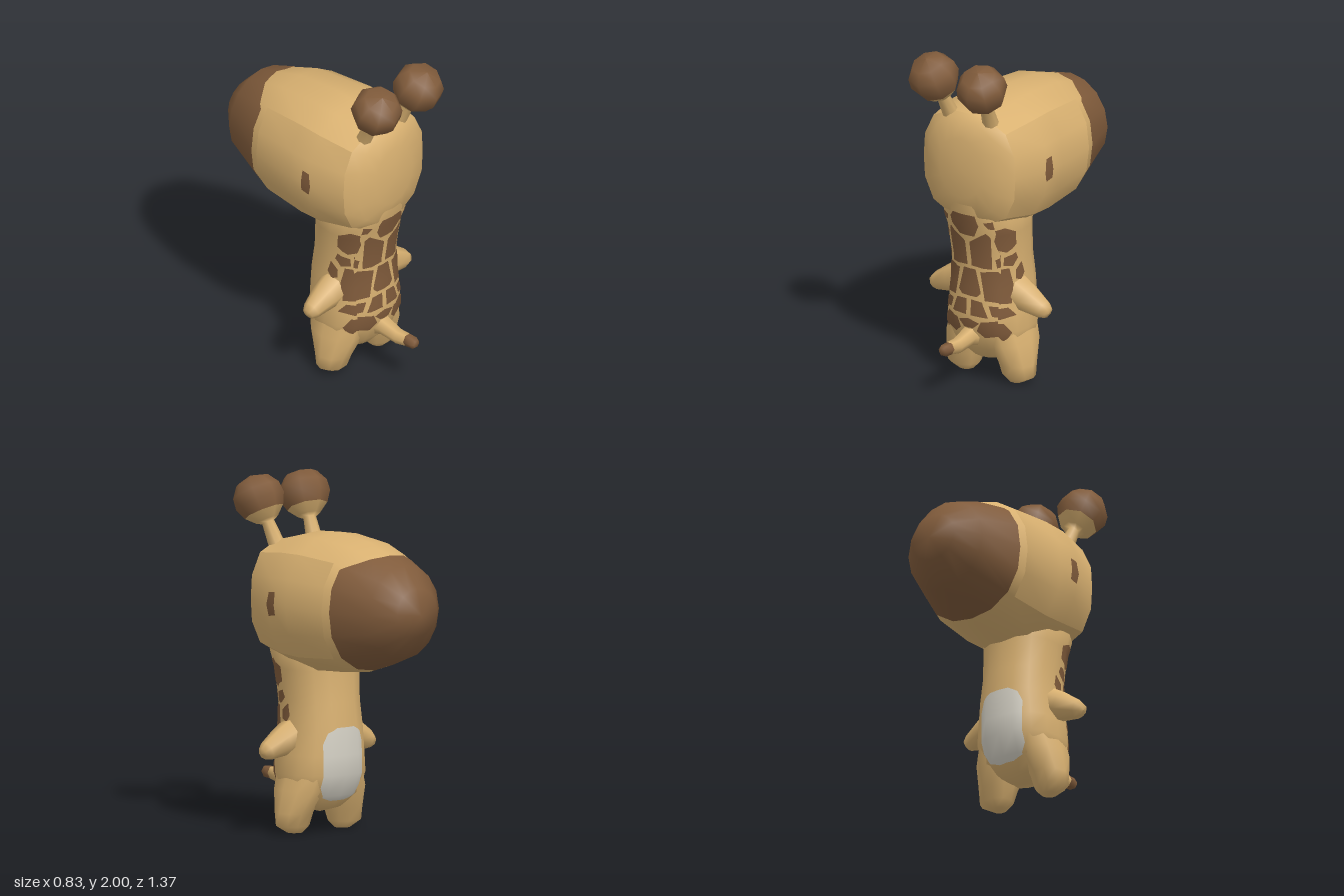
import * as THREE from 'three';
import { mergeVertices } from 'three/addons/utils/BufferGeometryUtils.js';

const V = (x, y, z) => new THREE.Vector3(x, y, z);

// Surface through rounded rings. Section: [t, centre1, centre2, radius1, radius2, power].
// Along 'z' list sections with t rising, along 'y' with t falling.
function loft(sections, axis, n = 16, keep = () => true) {
  const pos = [], index = [];
  for (const [t, c1, c2, r1, r2, p = 2] of sections) {
    for (let j = 0; j < n; j++) {
      const a = (j / n) * Math.PI * 2, c = Math.cos(a), s = Math.sin(a);
      const k = Math.pow(Math.abs(c) ** p + Math.abs(s) ** p, -1 / p);
      const u = c1 + r1 * c * k, v = c2 + r2 * s * k;
      if (axis === 'z') pos.push(u, v, t); else pos.push(u, t, v);
    }
  }
  for (let i = 0; i < sections.length - 1; i++) {
    for (let j = 0; j < n; j++) {
      if (!keep(i, j)) continue;
      const a = i * n + j, b = i * n + (j + 1) % n;
      index.push(a, b, b + n, a, b + n, a + n);
    }
  }
  const g = new THREE.BufferGeometry();
  g.setAttribute('position', new THREE.Float32BufferAttribute(pos, 3));
  g.setIndex(index);
  const m = mergeVertices(g, 1e-5);
  m.computeVertexNormals();
  return m;
}

// Painted patch: the piece of a surface inside all planes, lifted slightly
function patch(geo, planes, lift = 0.003) {
  const g = geo.toNonIndexed(), P = g.attributes.position, N = g.attributes.normal;
  const pos = [], nor = [];
  for (let i = 0; i < P.count; i += 3) {
    let poly = [0, 1, 2].map(k => ({
      p: V().fromBufferAttribute(P, i + k), n: V().fromBufferAttribute(N, i + k) }));
    for (const plane of planes) {
      const out = [];
      poly.forEach((a, k) => {
        const b = poly[(k + 1) % poly.length];
        const da = plane.distanceToPoint(a.p), db = plane.distanceToPoint(b.p);
        if (da >= 0) out.push(a);
        if (da >= 0 !== db >= 0) {
          const t = da / (da - db);
          out.push({ p: a.p.clone().lerp(b.p, t), n: a.n.clone().lerp(b.n, t) });
        }
      });
      poly = out;
    }
    for (let k = 1; k < poly.length - 1; k++) {
      for (const { p, n } of [poly[0], poly[k], poly[k + 1]]) {
        n.normalize();
        pos.push(...p.clone().addScaledVector(n, lift).toArray());
        nor.push(...n.toArray());
      }
    }
  }
  const r = new THREE.BufferGeometry();
  r.setAttribute('position', new THREE.Float32BufferAttribute(pos, 3));
  r.setAttribute('normal', new THREE.Float32BufferAttribute(nor, 3));
  return r;
}

// Planes around a convex outline given in (x, y), or in (z, y) when side is true
function outline(pts, side = false) {
  const cu = pts.reduce((s, p) => s + p[0], 0) / pts.length;
  const cv = pts.reduce((s, p) => s + p[1], 0) / pts.length;
  return pts.map(([u, v], i) => {
    const [u2, v2] = pts[(i + 1) % pts.length];
    let a = v - v2, b = u2 - u;
    if (a * (cu - u) + b * (cv - v) < 0) { a = -a; b = -b; }
    const n = side ? V(0, b, a) : V(a, b, 0), l = n.length();
    return new THREE.Plane(n.divideScalar(l), -(a * u + b * v) / l);
  });
}

export function createModel() {
  const model = new THREE.Group();
  const material = (name, color) => {
    const m = new THREE.MeshStandardMaterial({ color });
    m.name = name;
    return m;
  };
  const tan = material('tan', 0xd9b171);
  const brown = material('brown', 0x805b3b);
  const cream = material('cream', 0xd5d1c5);
  const add = (name, geo, mat, parent = model) => {
    const m = new THREE.Mesh(geo, mat);
    m.name = name;
    parent.add(m);
    return m;
  };

  // Head, from the snout tip back, with crisp side panels and back
  const headRings = [
    [-0.685, 0, 1.31, 0, 0], [-0.645, 0, 1.325, 0.145, 0.135], [-0.53, 0, 1.315, 0.255, 0.265],
    [-0.23, 0, 1.312, 0.352, 0.368, 2.3], [0.05, 0, 1.312, 0.38, 0.398, 2.2],
    [0.2, 0, 1.315, 0.38, 0.385, 2.3], [0.42, 0, 1.322, 0.32, 0.323, 2.9],
    [0.475, 0, 1.335, 0.25, 0.29, 2.5], [0.505, 0, 1.34, 0.15, 0.18], [0.52, 0, 1.34, 0, 0]];
  const panel = (i, j) => i > 2 && i < 6 && (j + 2) % 8 < 4;
  const headMain = loft(headRings, 'z', 16, (i, j) => i < 6 && !panel(i, j));
  const headSides = loft(headRings, 'z', 16, panel);
  add('headTopAndSnout', headMain, tan);
  add('headSides', headSides, tan);
  add('headBack', loft(headRings, 'z', 16, i => i > 5), tan);

  // Muzzle patch below a slanting line
  const slant = V(0, -1, -0.55).normalize();
  add('muzzle', patch(headMain, [
    new THREE.Plane(V(0, 0, -1), -0.28),
    new THREE.Plane().setFromNormalAndCoplanarPoint(slant, V(0, 1.55, -0.28))]), brown);

  // Neck and torso, from the top down
  const body = loft([
    [1.12, 0, 0.25, 0.2, 0.25, 2.5], [1.02, 0, 0.24, 0.235, 0.242, 2.5],
    [0.93, 0, 0.225, 0.222, 0.225, 2.5], [0.75, 0, 0.205, 0.213, 0.215, 2.5],
    [0.6, 0, 0.195, 0.222, 0.225, 2.5], [0.45, 0, 0.2, 0.24, 0.23, 2.5],
    [0.34, 0, 0.2, 0.25, 0.23, 2.5], [0.22, 0, 0.2, 0.235, 0.18, 2.4],
    [0.14, 0, 0.2, 0.12, 0.11], [0.11, 0, 0.2, 0, 0]], 'y');
  add('body', body, tan);

  // Belly patch
  add('belly', patch(body, [...outline([
    [-0.14, 0.27], [-0.14, 0.52], [-0.115, 0.58], [-0.06, 0.61], [0.06, 0.61], [0.115, 0.58],
    [0.14, 0.52], [0.14, 0.27], [0.11, 0.21], [0.05, 0.19], [-0.05, 0.19], [-0.11, 0.21]]),
    new THREE.Plane(V(0, 0, -1), 0.12)]), cream);

  // Spots down the middle of the back
  const back = new THREE.Plane(V(0, 0, 1), -0.25);
  const middleSpots = [
    [[-0.09, 1.03], [-0.07, 1.06], [0.08, 1.06], [0.095, 1], [0.05, 0.92], [-0.05, 0.92], [-0.09, 0.98]],
    [[-0.04, 0.71], [0.04, 0.71], [0.075, 0.57], [0.05, 0.545], [-0.05, 0.545], [-0.075, 0.57]],
    [[-0.07, 0.39], [0, 0.41], [0.07, 0.39], [0.03, 0.355], [-0.03, 0.355]]];
  middleSpots.forEach(s => add('backSpot', patch(body, [...outline(s), back]), brown));

  // Mirrored spots on the back (x, y) and on the flanks (z, y)
  const backSpots = [
    [[0.12, 1.02], [0.17, 1.03], [0.2, 0.98], [0.14, 0.98]],
    [[0.12, 0.95], [0.015, 0.88], [0.015, 0.73], [0.13, 0.72], [0.14, 0.92]],
    [[0.155, 0.9], [0.17, 0.95], [0.21, 0.95], [0.21, 0.84], [0.17, 0.83]],
    [[0.15, 0.78], [0.2, 0.81], [0.2, 0.74], [0.155, 0.73]],
    [[0.07, 0.7], [0.16, 0.71], [0.2, 0.65], [0.19, 0.52], [0.1, 0.53]],
    [[0.015, 0.525], [0.085, 0.52], [0.12, 0.43], [0.015, 0.43]],
    [[0.12, 0.5], [0.2, 0.5], [0.2, 0.435], [0.14, 0.44]],
    [[0.08, 0.4], [0.2, 0.42], [0.21, 0.33], [0.1, 0.305], [0.055, 0.345]]];
  const flankSpots = [
    [[0.42, 0.97], [0.36, 0.98], [0.28, 0.94], [0.27, 0.86], [0.33, 0.82], [0.4, 0.85]],
    [[0.34, 0.79], [0.27, 0.81], [0.25, 0.77], [0.29, 0.73], [0.34, 0.74]],
    [[0.27, 0.7], [0.22, 0.74], [0.2, 0.67], [0.23, 0.63], [0.27, 0.65]],
    [[0.4, 0.72], [0.31, 0.72], [0.29, 0.62], [0.31, 0.51], [0.4, 0.52]],
    [[0.42, 0.81], [0.36, 0.81], [0.36, 0.75], [0.42, 0.76]],
    [[0.41, 0.49], [0.33, 0.49], [0.29, 0.44], [0.41, 0.42]],
    [[0.42, 0.4], [0.36, 0.4], [0.32, 0.34], [0.34, 0.29], [0.41, 0.31]]];
  const eye = [[0.2, 1.385], [0.15, 1.39], [0.145, 1.26], [0.2, 1.25], [0.215, 1.31]];

  for (const s of [1, -1]) {
    const name = s > 0 ? 'left' : 'right';
    const inner = new THREE.Plane(V(-s, 0, 0), 0.17), outer = new THREE.Plane(V(s, 0, 0), -0.17);
    for (const spot of backSpots) {
      const planes = outline(spot.map(([x, y]) => [x * s, y]));
      add(name + 'BackSpot', patch(body, [...planes, back, inner]), brown);
    }
    for (const spot of flankSpots) {
      add(name + 'FlankSpot', patch(body, [...outline(spot, true), outer]), brown);
    }
    add(name + 'Eye', patch(headSides, [...outline(eye, true), outer]), brown);

    // Leg, from the hip down
    add(name + 'Leg', loft([
      [0.4, s * 0.12, 0.2, 0.1, 0.2], [0.25, s * 0.15, 0.2, 0.122, 0.175],
      [0.12, s * 0.18, 0.21, 0.108, 0.11], [0.045, s * 0.19, 0.21, 0.1, 0.085],
      [0.005, s * 0.175, 0.21, 0.045, 0.045], [0, s * 0.175, 0.21, 0, 0]], 'y', 10), tan);

    // Arm
    const lathe = (pts, n) => new THREE.LatheGeometry(pts.map(p => new THREE.Vector2(...p)), n);
    const place = (o, from, dir) => {
      o.position.copy(from);
      o.quaternion.setFromUnitVectors(V(0, 1, 0), dir.normalize());
    };
    const arm = add(name + 'Arm', lathe([[0.1, 0], [0.085, 0.1], [0.055, 0.22], [0.035, 0.255], [0, 0.262]], 7), tan);
    place(arm, V(s * 0.165, 0.565, 0.22), V(s * 0.22, -0.09, 0));

    // Horn with a dark knob
    const horn = new THREE.Group();
    horn.name = name + 'Horn';
    model.add(horn);
    add('hornStem', lathe([[0.05, 0], [0.036, 0.17], [0.065, 0.185], [0.116, 0.235]], 8), tan, horn);
    add('hornKnob', lathe([[0.116, 0.235], [0.145, 0.3], [0.138, 0.365], [0.095, 0.425], [0, 0.453]], 8), brown, horn);
    place(horn, V(s * 0.135, 1.58, 0.393), V(s * 0.032, 0.28, 0.135));
  }

  // Tail
  add('tail', loft([[0.36, 0, 0.3, 0.075, 0.075], [0.43, 0, 0.3, 0.055, 0.055],
    [0.54, 0, 0.277, 0.042, 0.045], [0.61, 0, 0.285, 0.036, 0.038]], 'z', 6), tan);
  add('tailTip', loft([[0.61, 0, 0.285, 0.036, 0.038], [0.665, 0, 0.287, 0.034, 0.035],
    [0.68, 0, 0.287, 0.022, 0.022], [0.682, 0, 0.287, 0, 0]], 'z', 6), brown);

  return model;
}
